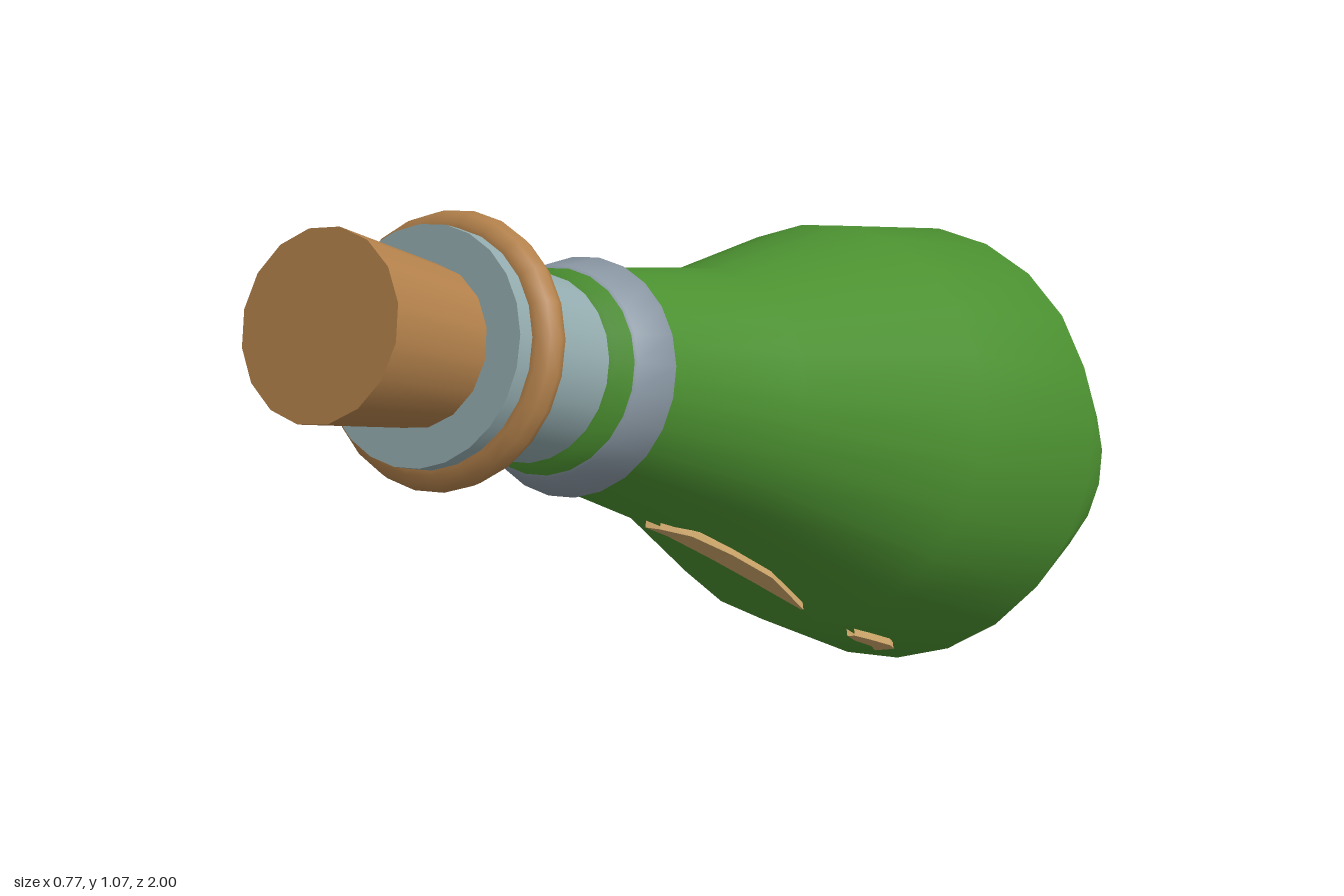
import * as THREE from 'three';

// Glass outline as [radius, distance along the axis]
const GLASS = [[0, 0], [0.135, 0], [0.238, 0.105], [0.384, 0.478], [0.337, 0.793],
  [0.21, 1.152], [0.162, 1.475], [0.144, 1.585], [0, 1.585]];

const TILT = THREE.MathUtils.degToRad(68);

function material(name, color) {
  const m = new THREE.MeshStandardMaterial({ color });
  m.name = name;
  return m;
}

function lathe(points, segments) {
  return new THREE.LatheGeometry(points.map(([r, t]) => new THREE.Vector2(r, t)), segments);
}

// Glass radius at a distance along the axis
function glassRadius(t) {
  let i = 2;
  while (i < GLASS.length - 2 && GLASS[i][1] < t) i++;
  const [r0, t0] = GLASS[i - 1], [r1, t1] = GLASS[i];
  return r0 + (r1 - r0) * (t - t0) / (t1 - t0);
}

// Point on the underside of the glass with the given x and height y
function underside(x, y, lift) {
  let lo = 0.5, hi = 1.45;
  const depth = t => Math.sqrt(Math.max(0, glassRadius(t) ** 2 - x * x));
  for (let i = 0; i < 40; i++) {
    const t = (lo + hi) / 2;
    if (0.185 + t * Math.cos(TILT) - depth(t) * Math.sin(TILT) < y) lo = t; else hi = t;
  }
  const r = glassRadius(lo), k = 1 + lift / r;
  return [x * k, lo, depth(lo) * k];
}

// Raised sliver following the glass; rows are [xLeft, yLeft, xRight, yRight] from top to bottom
function sliver(rows) {
  const pos = [], index = [];
  for (const [xa, ya, xb, yb] of rows) {
    pos.push(...underside(xa, ya, -0.005), ...underside(xa, ya, 0.009),
      ...underside(xb, yb, 0.009), ...underside(xb, yb, -0.005));
  }
  for (let i = 0; i < rows.length - 1; i++) {
    for (let j = 0; j < 3; j++) {
      const a = i * 4 + j, b = a + 4;
      index.push(a, b, a + 1, a + 1, b, b + 1);
    }
  }
  const g = new THREE.BufferGeometry();
  g.setAttribute('position', new THREE.Float32BufferAttribute(pos, 3));
  g.setIndex(index);
  const flat = g.toNonIndexed();
  flat.computeVertexNormals();
  return flat;
}

export function createModel() {
  const green = material('green glass', 0x4b9030);
  const grey = material('pale grey metal', 0x93abae);
  const collarGrey = material('collar grey', 0x8b99a5);
  const cork = material('cork brown', 0xb3814b);
  const tan = material('tan sliver', 0xcaa468);
  tan.side = THREE.DoubleSide;

  const model = new THREE.Group();
  model.name = 'bottle';

  // All parts are stacked along y, then the whole bottle is tipped forward
  const tipped = new THREE.Group();
  tipped.name = 'tippedBottle';
  tipped.rotation.x = TILT;
  tipped.position.set(0, 0.185, -0.95);
  model.add(tipped);

  const add = (name, geometry, mat, t = 0) => {
    const mesh = new THREE.Mesh(geometry, mat);
    mesh.name = name;
    mesh.position.y = t;
    tipped.add(mesh);
    return mesh;
  };

  add('glassBody', lathe(GLASS, 24), green);

  // Flared collar at the top of the glass
  add('collar', lathe([[0.14, 1.474], [0.178, 1.474], [0.156, 1.54], [0.14, 1.545]], 24), collarGrey);

  // Neck, lip ring and lip plate
  add('neck', new THREE.CylinderGeometry(0.137, 0.137, 0.24, 24), grey, 1.69);
  add('lipRing', new THREE.TorusGeometry(0.166, 0.029, 10, 24).rotateX(Math.PI / 2), cork, 1.785);
  add('lipPlate', new THREE.CylinderGeometry(0.167, 0.167, 0.05, 24), grey, 1.815);

  // Stopper widens toward its free end
  add('stopper', new THREE.CylinderGeometry(0.13, 0.11, 0.25, 16), cork, 1.925);

  // Slivers on the underside
  add('longSliver', sliver([
    [0.022, 0.467, 0.042, 0.465], [0.024, 0.435, 0.064, 0.44], [0.052, 0.375, 0.09, 0.39],
    [0.08, 0.315, 0.113, 0.33], [0.1, 0.265, 0.113, 0.28], [0.109, 0.243, 0.113, 0.243],
  ]), tan);
  add('shortSliver', sliver([
    [0.122, 0.153, 0.132, 0.153], [0.117, 0.13, 0.141, 0.13],
    [0.122, 0.105, 0.148, 0.105], [0.112, 0.084, 0.142, 0.09],
  ]), tan);

  return model;
}
